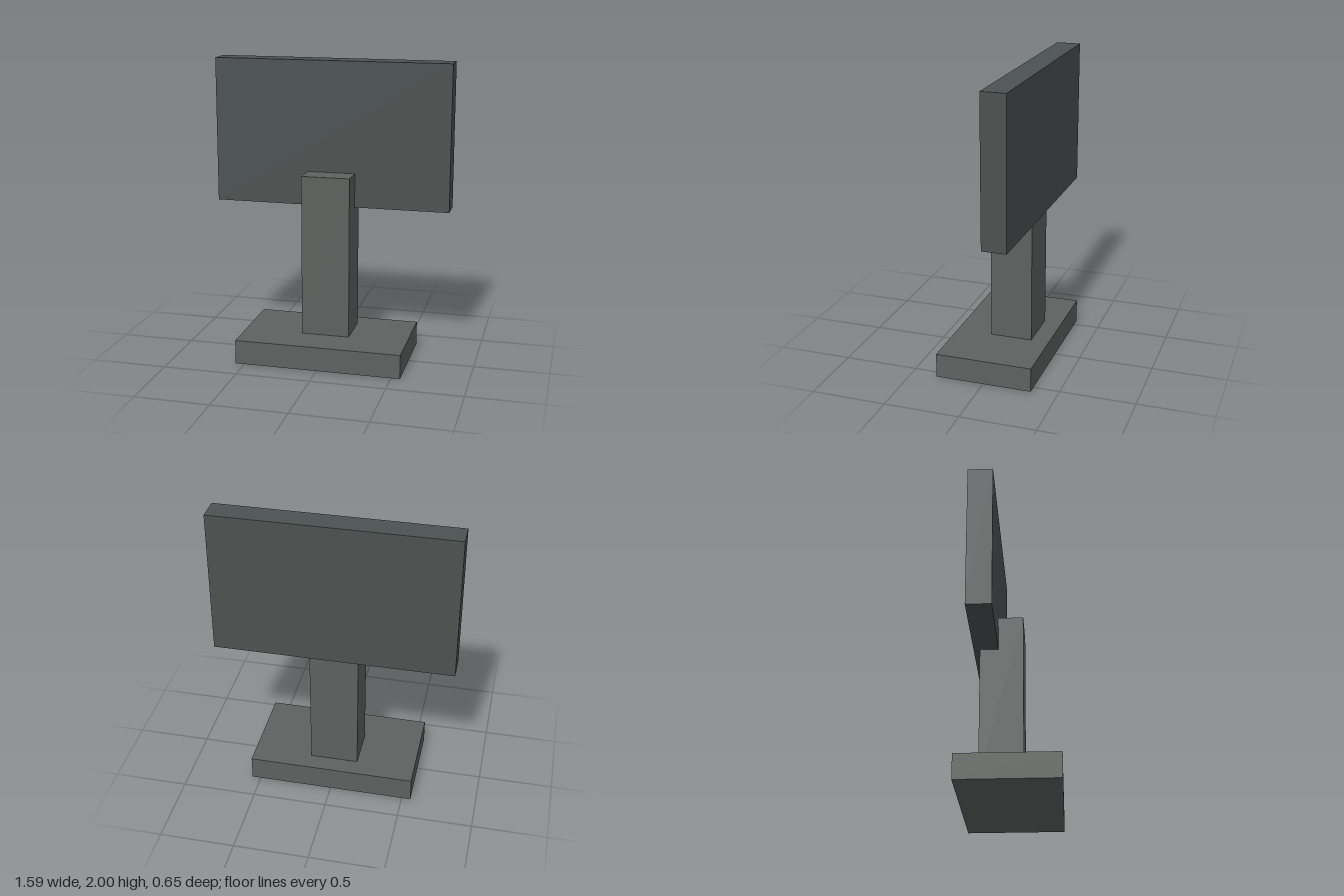
import * as THREE from 'three';

const standMaterial = new THREE.MeshStandardMaterial({ color: 0x5e615f });
const panelMaterial = new THREE.MeshStandardMaterial({ color: 0x4c5251 });

// Box centred on x, given its width and its y and z ranges
function block(name, width, [y0, y1], [z0, z1], material) {
  const mesh = new THREE.Mesh(new THREE.BoxGeometry(width, y1 - y0, z1 - z0), material);
  mesh.position.set(0, (y0 + y1) / 2, (z0 + z1) / 2);
  mesh.name = name;
  return mesh;
}

export function createModel() {
  const group = new THREE.Group();
  group.name = 'displayOnStand';
  group.add(
    // Foot plate on the ground
    block('base', 1.12, [0, 0.163], [-0.325, 0.325], standMaterial),
    // Upright, notched into by the panel at its top rear
    block('post', 0.325, [0.163, 1.255], [-0.203, 0.082], standMaterial),
    // Wide upright panel
    block('panel', 1.594, [1.025, 2], [-0.244, -0.081], panelMaterial),
  );
  return group;
}
